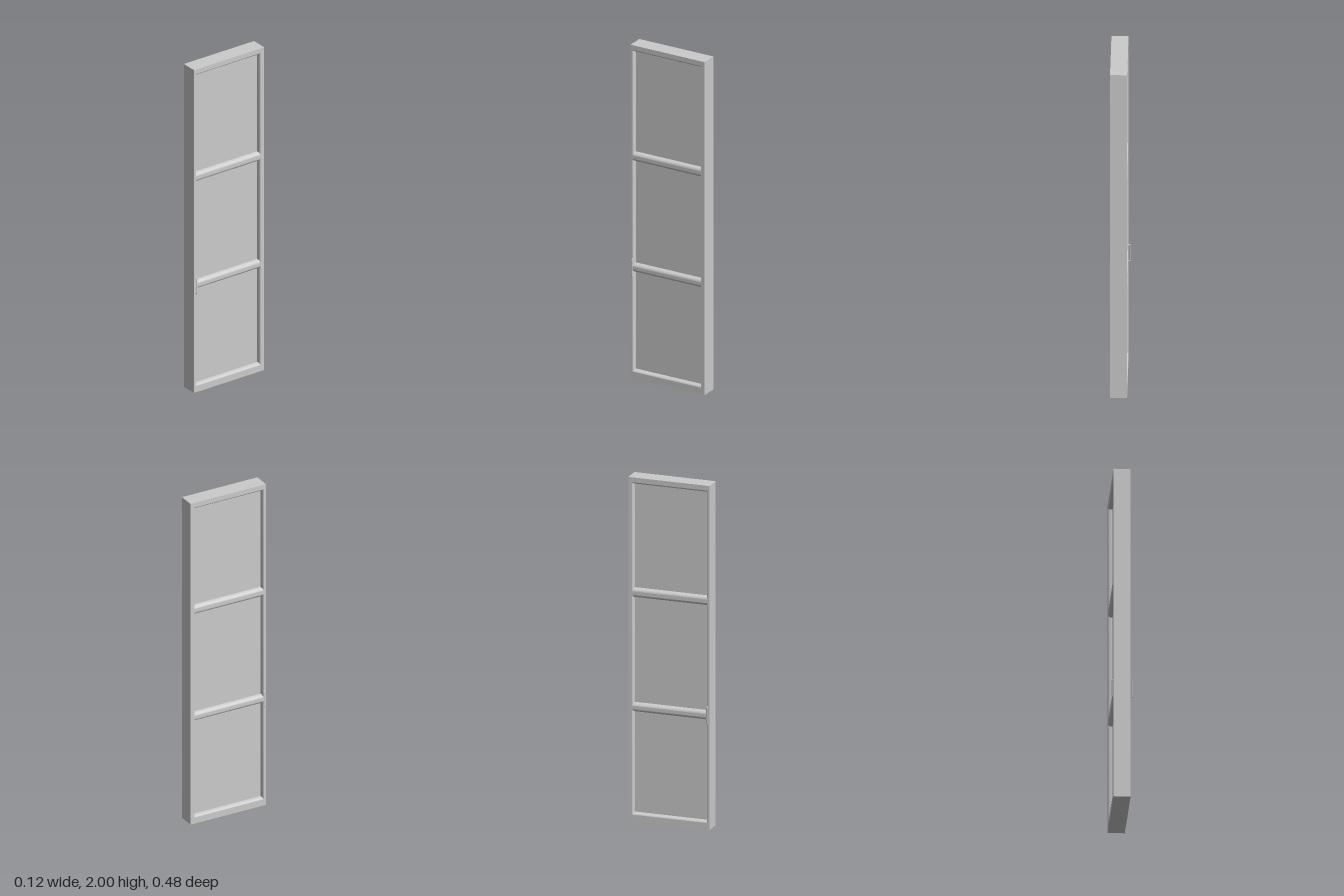
import * as THREE from 'three';

const HALF_T = 0.0475, HALF_Z = 0.24, DEPTH = 0.025;
const grey = new THREE.MeshStandardMaterial({ color: 0xcccccc });

// Panel limits [bottom, top] and the bevel widths below and above each
const openings = [
  { y0: 0.05, y1: 0.635, low: 0.012, high: 0.018 },
  { y0: 0.688, y1: 1.3, low: 0.018, high: 0.018 },
  { y0: 1.355, y1: 1.96, low: 0.018, high: 0.012 },
];
const FRONT = 0.22, BACK = -0.21, SIDE = 0.008;

function add(parent, name, geometry) {
  const mesh = new THREE.Mesh(geometry, grey);
  mesh.name = name;
  parent.add(mesh);
  return mesh;
}

function rectPath(Kind, a, b, c, d) {
  return new Kind([[a, b], [c, b], [c, d], [a, d]].map(([x, y]) => new THREE.Vector2(x, y)));
}

// Rounded moulding strip between an outer edge on the face and an inner edge on the panel
function mouldingStrip(p, q, pIn, qIn, steps = 6) {
  const pos = [], index = [];
  for (let i = 0; i <= steps; i++) {
    const a = (i / steps) * Math.PI / 2;
    const z = HALF_T - DEPTH * (1 - Math.cos(a));
    for (const [o, n] of [[p, pIn], [q, qIn]]) {
      pos.push(o[0] + (n[0] - o[0]) * Math.sin(a), o[1] + (n[1] - o[1]) * Math.sin(a), z);
    }
    if (i < steps) index.push(2 * i, 2 * i + 1, 2 * i + 3, 2 * i, 2 * i + 3, 2 * i + 2);
  }
  const g = new THREE.BufferGeometry();
  g.setAttribute('position', new THREE.Float32BufferAttribute(pos, 3));
  g.setIndex(index);
  g.computeVertexNormals();
  return g;
}

export function createModel() {
  const model = new THREE.Group();
  model.name = 'door';

  // Stiles and rails as one pierced slab
  const outline = rectPath(THREE.Shape, -HALF_Z, 0, HALF_Z, 2);
  for (const o of openings) {
    outline.holes.push(rectPath(THREE.Path, -FRONT - SIDE, o.y0 - o.low, -BACK + SIDE, o.y1 + o.high));
  }
  const slab = new THREE.ExtrudeGeometry(outline, { depth: 2 * HALF_T, bevelEnabled: false });
  slab.translate(0, 0, -HALF_T);
  add(model, 'frame', slab).rotation.y = Math.PI / 2;

  // Recessed panels
  for (const o of openings) {
    const panel = new THREE.BoxGeometry(2 * (HALF_T - DEPTH), o.y1 - o.y0 + 0.02, FRONT - BACK + 0.012);
    add(model, 'panel', panel).position.set(0, (o.y0 + o.y1) / 2, (FRONT + BACK) / 2);
  }

  for (const s of [1, -1]) {
    const face = new THREE.Group();
    face.name = s > 0 ? 'leftFace' : 'rightFace';
    face.rotation.y = s * Math.PI / 2;
    model.add(face);

    // Mouldings around the panels
    const [x0, x1] = s > 0 ? [-FRONT, -BACK] : [BACK, FRONT];
    for (const o of openings) {
      const inner = [[x0, o.y0], [x1, o.y0], [x1, o.y1], [x0, o.y1]];
      const [a, b, c, d] = [x0 - SIDE, o.y0 - o.low, x1 + SIDE, o.y1 + o.high];
      const outer = [[a, b], [c, b], [c, d], [a, d]];
      for (let i = 0; i < 4; i++) {
        const j = (i + 1) % 4;
        add(face, 'moulding', mouldingStrip(outer[i], outer[j], inner[i], inner[j]));
      }
    }

    // Pull handle bowed out from the front stile
    const inX = s * (HALF_T - 0.002), outX = s * 0.0555;
    const bow = new THREE.CurvePath();
    const v = (x, y) => new THREE.Vector3(x, y, 0.227);
    bow.add(new THREE.LineCurve3(v(inX, 0.615), v(outX - s * 0.004, 0.615)));
    bow.add(new THREE.QuadraticBezierCurve3(v(outX - s * 0.004, 0.615), v(outX, 0.615), v(outX, 0.622)));
    bow.add(new THREE.LineCurve3(v(outX, 0.622), v(outX, 0.708)));
    bow.add(new THREE.QuadraticBezierCurve3(v(outX, 0.708), v(outX, 0.715), v(outX - s * 0.004, 0.715)));
    bow.add(new THREE.LineCurve3(v(outX - s * 0.004, 0.715), v(inX, 0.715)));
    const handle = add(model, 'handle', new THREE.TubeGeometry(bow, 60, 0.0025, 10));
    // Widened front to back into a flat strap
    handle.scale.z = 1.8;
    handle.position.z = 0.227 * (1 - 1.8);
  }
  return model;
}
